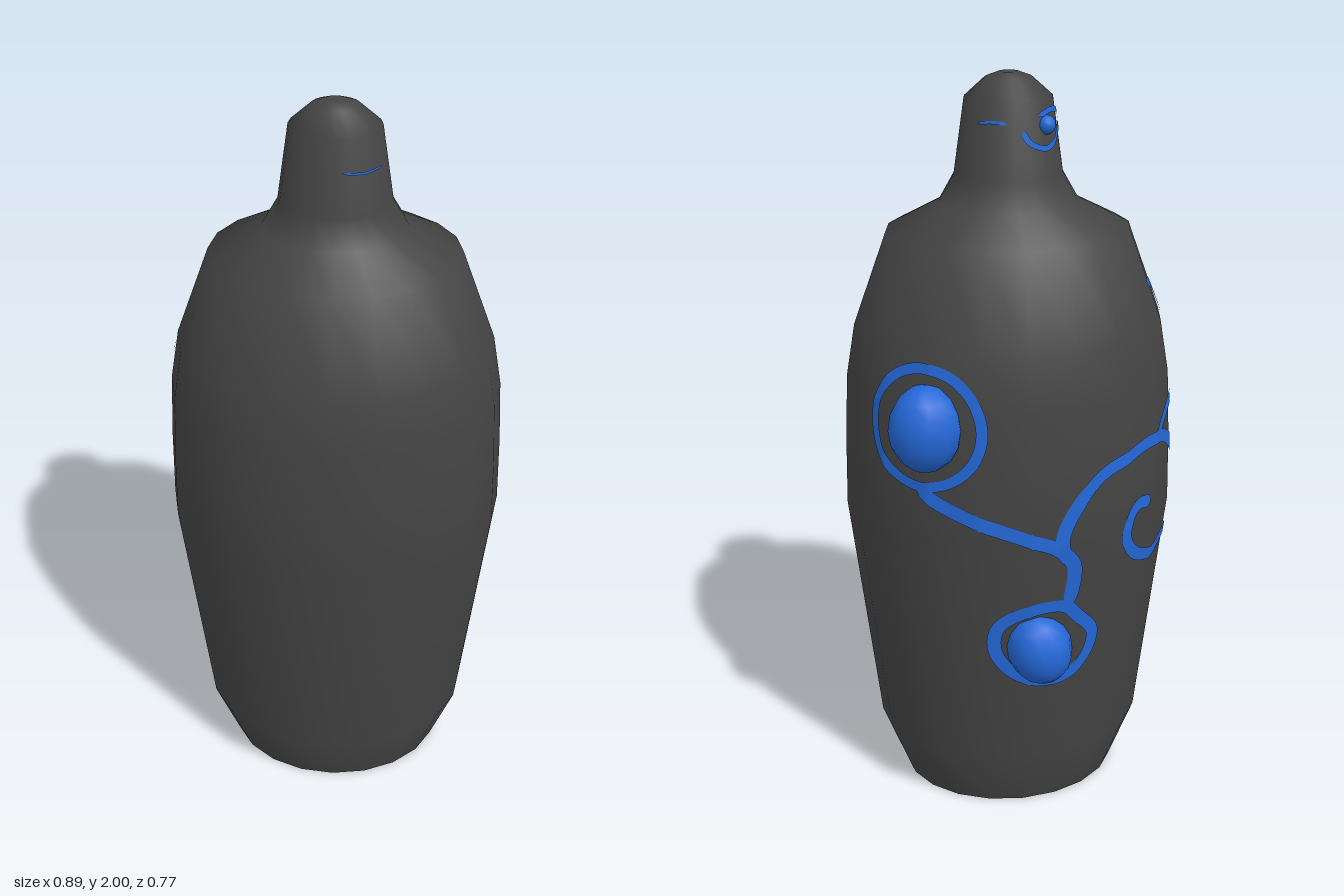
import * as THREE from 'three';

const charcoal = new THREE.MeshStandardMaterial({ color: 0x444444 });
charcoal.name = 'charcoal';
const blue = new THREE.MeshStandardMaterial({ color: 0x2468d8 });
blue.name = 'blue';

const SIDES = 20;      // facets around the body
const DEPTH = 0.82;    // oval depth relative to width
const CENTRE_Z = 0.02;

// half width and height, from the base to the crown
const PROFILE = [
  [0.305, 0], [0.372, 0.18], [0.445, 0.86], [0.44, 1.05], [0.43, 1.23], [0.405, 1.37],
  [0.316, 1.61], [0.18, 1.68], [0.14, 1.75], [0.112, 1.94], [0.058, 1.988], [0.025, 2], [0, 2],
];

function halfWidth(y) {
  let i = 1;
  while (i < PROFILE.length - 2 && PROFILE[i][1] < y) i++;
  const [r0, y0] = PROFILE[i - 1], [r1, y1] = PROFILE[i];
  return THREE.MathUtils.lerp(r0, r1, (y - y0) / (y1 - y0));
}

// point on the faceted body; angle in degrees from the back (-z) towards -x
function onBody(angle, y, lift = 0) {
  const step = 360 / SIDES;
  const k = Math.floor(angle / step), t = angle / step - k;
  const corner = (j) => {
    const a = THREE.MathUtils.degToRad(j * step), r = halfWidth(y) + lift;
    return new THREE.Vector3(-r * Math.sin(a), y, CENTRE_Z - r * DEPTH * Math.cos(a));
  };
  return corner(k).lerp(corner(k + 1), t);
}

// painted ribbon that hugs the body along [angle, height] points
function ribbon(name, points, half, closed = false) {
  const curve = new THREE.CatmullRomCurve3(
    points.map(([a, y]) => new THREE.Vector3(a, y, 0)), closed, 'centripetal');
  // scale angles to arc length so that the curve is evenly shaped
  const scale = halfWidth(points[0][1]) * 0.92 * Math.PI / 180;
  curve.points.forEach((p) => { p.x *= scale; });
  const n = points.length * 10, pos = [], index = [];
  for (let i = 0; i <= n; i++) {
    const p = curve.getPoint(i / n), t = curve.getTangent(i / n);
    const end = closed ? 1 : Math.min(1, 0.5 + Math.min(i, n - i) / 6);
    for (let j = -1; j <= 1; j++) {
      const s = j * half * end;
      pos.push(...onBody((p.x - t.y * s) / scale, p.y + t.x * s, 0.004).toArray());
    }
    if (i === n) break;
    for (let j = 0; j < 2; j++) {
      const a = i * 3 + j, b = a + 3;
      index.push(a, b, a + 1, b, b + 1, a + 1);
    }
  }
  // face outwards: angle grows to the right when seen from behind
  const g = new THREE.BufferGeometry();
  g.setAttribute('position', new THREE.Float32BufferAttribute(pos, 3));
  g.setIndex(index);
  g.computeVertexNormals();
  const mesh = new THREE.Mesh(g, blue);
  mesh.name = name;
  return mesh;
}

function bead(name, position, radii, tilt = 0) {
  const mesh = new THREE.Mesh(new THREE.SphereGeometry(1, 12, 8), blue);
  mesh.name = name;
  mesh.position.set(...position);
  mesh.scale.set(...radii);
  mesh.rotation.z = tilt;
  return mesh;
}

export function createModel() {
  const model = new THREE.Group();
  model.name = 'ovalBottle';

  // body, neck and crown in one smooth oval lathe
  const body = new THREE.Mesh(
    new THREE.LatheGeometry(PROFILE.map(([r, y]) => new THREE.Vector2(r, y)), SIDES), charcoal);
  body.name = 'body';
  body.scale.z = DEPTH;
  body.position.z = CENTRE_Z;
  model.add(body);

  // blue underside
  const base = new THREE.Mesh(new THREE.CircleGeometry(PROFILE[0][0], SIDES), blue);
  base.name = 'base';
  base.rotation.x = Math.PI / 2;
  base.scale.y = DEPTH;
  base.position.z = CENTRE_Z;
  model.add(base);

  // raised beads
  model.add(
    bead('upperBead', [0.257, 1.185, -0.268], [0.094, 0.115, 0.082]),
    bead('lowerBead', [-0.028, 0.548, -0.305], [0.088, 0.107, 0.085], -0.3),
    bead('neckBead', [-0.083, 1.88, -0.05], [0.024, 0.024, 0.024]),
  );

  // painted vine
  const ring = [];
  for (let i = 0; i < 12; i++) {
    const a = i * Math.PI / 6;
    ring.push([-38 + 21.5 * Math.cos(a), 1.18 + 0.155 * Math.sin(a)]);
  }
  model.add(
    ribbon('upperRing', ring, 0.014, true),
    ribbon('lowerRing', [[13, 0.672], [17.5, 0.64], [25, 0.573], [22, 0.494], [11, 0.441],
      [-4.4, 0.467], [-12.6, 0.543], [-11.5, 0.623], [0, 0.672]], 0.018, true),
    ribbon('stem', [[-39, 1.02], [-32, 0.985], [-17, 0.936], [0, 0.885], [9, 0.852],
      [15, 0.798], [14, 0.67]], 0.019),
    ribbon('spiral', [[14, 0.8], [10.5, 0.865], [14, 0.946], [24, 1.032], [39.5, 1.072], [55.4, 1.081],
      [69, 1.044], [78, 0.962], [79.5, 0.869], [72.5, 0.779], [58, 0.743], [44.5, 0.767],
      [37, 0.834], [39, 0.896], [44, 0.919], [50.5, 0.911]], 0.018),
    ribbon('tendril', [[55, 1.08], [72, 1.159], [87, 1.253], [89, 1.356], [82, 1.436],
      [69, 1.48]], 0.016),
    // thin marks around the neck
    ribbon('neckSwirl', [[9, 1.87], [17, 1.842], [40, 1.825], [64, 1.855], [78, 1.9],
      [55, 1.915], [30, 1.905]], 0.007),
    ribbon('neckLineFront', [[190, 1.86], [215, 1.855], [240, 1.86]], 0.003),
    ribbon('neckLineBack', [[-45, 1.89], [-28, 1.893], [-10, 1.89]], 0.004),
  );
  return model;
}
